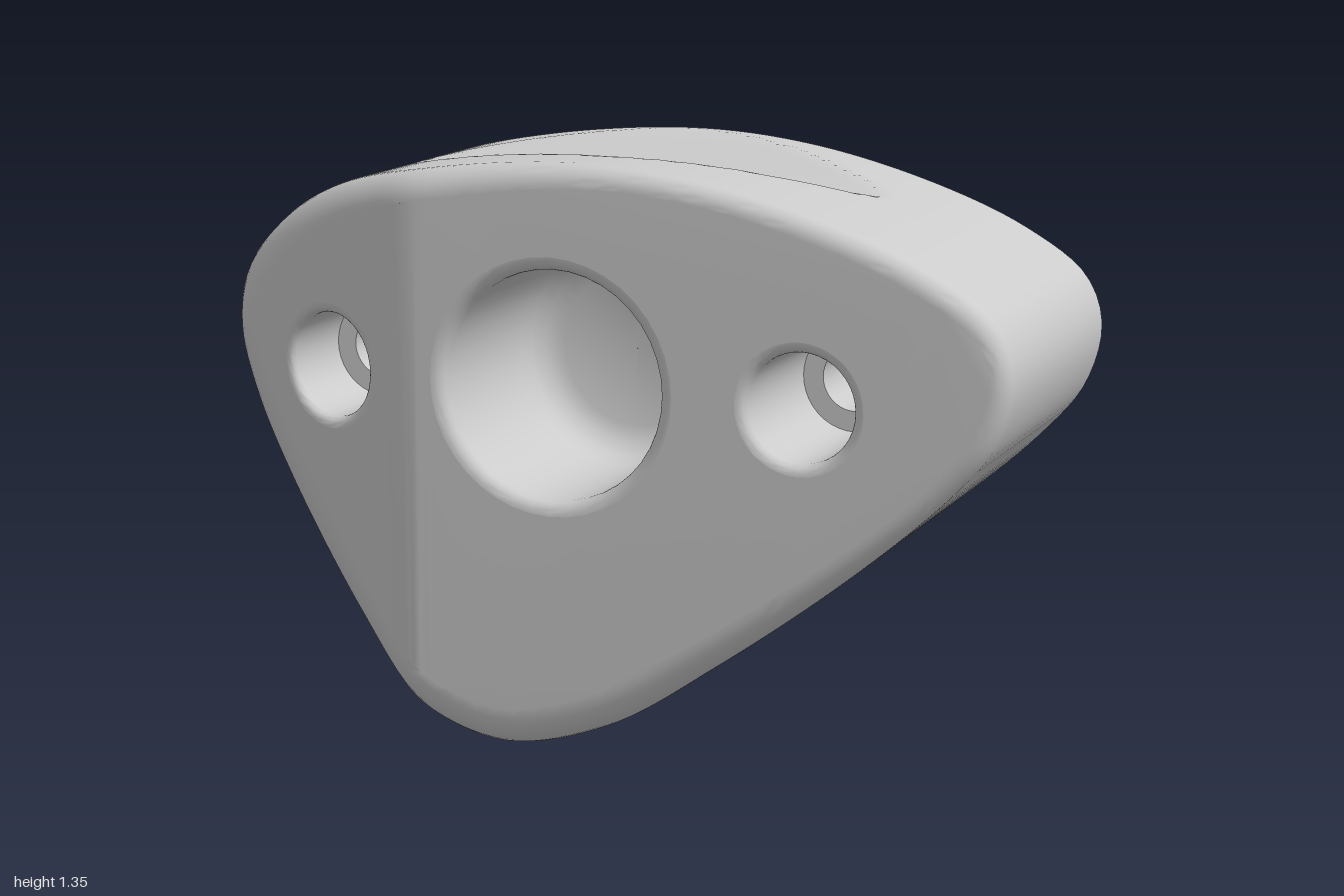
import * as THREE from 'three';
import { mergeGeometries, toCreasedNormals } from 'three/addons/utils/BufferGeometryUtils.js';

const BACK = -0.365, FRONT = 0.365;
const N = 160;          // points around the outline
const HOLE_SEGS = 40;
const { clamp, smoothstep } = THREE.MathUtils;

// Front surface: flat, bending smoothly into a slope on the -x side
const BEND_A = -0.35, BEND_B = -0.46, SLOPE = 0.4;
function frontZ(x) {
  if (x >= BEND_A) return FRONT;
  const w = BEND_A - BEND_B, d = BEND_A - x;
  return FRONT - SLOPE * (d < w ? d * d / (2 * w) : d - w / 2);
}

// Finger grooves: the top and bottom heights are limited along z
const grooveDepth = (z) => z > -0.07 ? 1 - smoothstep(z, -0.07, 0.21) : smoothstep(z, -0.37, -0.07);
function carve([x, y, z]) {
  const top = 1.352 - 0.092 * grooveDepth(z);
  const bottom = -0.002 + 0.065 * grooveDepth(z - 0.03 < -0.07 ? z - 0.03 : z + 0.05 * (z < 0.13 ? -0.6 : 0));
  return [x, clamp(y, bottom, top), z];
}

// Skin closed rings of [x, y, z] points
function loft(rings) {
  const n = rings[0].length, index = [];
  for (let i = 0; i < rings.length - 1; i++) {
    for (let j = 0; j < n; j++) {
      const k = (j + 1) % n, a = i * n + j, b = i * n + k, c = b + n, d = a + n;
      index.push(a, b, c, a, c, d);
    }
  }
  const g = new THREE.BufferGeometry();
  g.setAttribute('position', new THREE.Float32BufferAttribute(rings.flat(2), 3));
  g.setIndex(index);
  return g;
}

// Flat cap with holes, lifted to z by a rule
function cap(points, holes, zRule, flip = false) {
  const shape = new THREE.Shape(points.map(([x, y]) => new THREE.Vector2(x, y)));
  shape.holes = holes.map((h) => new THREE.Path(h.map(([x, y]) => new THREE.Vector2(x, y))));
  const g = new THREE.ShapeGeometry(shape);
  g.deleteAttribute('uv');
  g.deleteAttribute('normal');
  const p = g.attributes.position;
  for (let i = 0; i < p.count; i++) p.setZ(i, zRule(p.getX(i)));
  if (flip) g.index.array.reverse();
  return g;
}

// Keep the part of a polygon where sign * (x - cut) >= 0
function clip(points, cut, sign) {
  const out = [];
  points.forEach((a, i) => {
    const b = points[(i + 1) % points.length];
    const da = sign * (a[0] - cut), db = sign * (b[0] - cut);
    if (da >= 0) out.push(a);
    if (da * db < 0) out.push([cut, a[1] + (b[1] - a[1]) * da / (da - db)]);
  });
  return out;
}

const circle = (cx, cy, r) => Array.from({ length: HOLE_SEGS }, (_, i) => {
  const a = i / HOLE_SEGS * Math.PI * 2;
  return [cx + r * Math.cos(a), cy + r * Math.sin(a)];
});

// Recess with a rounded rim, then a profile of [radius, z] steps
function recess({ x, y, r, rim, steps }) {
  const rings = [];
  for (let i = 0; i <= 6; i++) {
    const a = i / 6 * Math.PI / 2;
    rings.push(circle(x, y, r + rim * (1 - Math.sin(a)))
      .map(([px, py]) => [px, py, frontZ(px) - rim * (1 - Math.cos(a))]));
  }
  for (const [sr, sz] of steps) rings.push(circle(x, y, sr).map(([px, py]) => [px, py, sz]));
  return loft(rings);
}

export function createModel() {
  const group = new THREE.Group();
  const material = new THREE.MeshStandardMaterial({ color: 0xcccccc });
  const add = (name, geometry) => {
    const mesh = new THREE.Mesh(toCreasedNormals(geometry, 0.5), material);
    mesh.name = name;
    group.add(mesh);
  };

  // Rounded triangular outline, counterclockwise from the top
  const outline = new THREE.CatmullRomCurve3([
    [0, 1.35], [-0.39, 1.315], [-0.66, 1.25], [-0.845, 1.15], [-0.97, 1.02], [-1, 0.88],
    [-0.95, 0.72], [-0.82, 0.51], [-0.6, 0.24], [-0.42, 0.07], [-0.2, 0], [0.06, 0.07],
    [0.33, 0.245], [0.65, 0.49], [0.87, 0.69], [0.965, 0.81], [1, 0.95], [0.96, 1.06],
    [0.82, 1.16], [0.6, 1.25], [0.3, 1.325],
  ].map(([x, y]) => new THREE.Vector3(x, y, 0)), true).getSpacedPoints(N).slice(0, N);

  // Each outline point with its inward direction and edge radius
  const edge = outline.map((p, i) => {
    const t = outline[(i + 1) % N].clone().sub(outline[(i + N - 1) % N]).normalize();
    const r = clamp(0.07 - 0.035 * p.x + 0.03 * (0.7 - p.y), 0.045, 0.11);
    return { x: p.x, y: p.y, nx: -t.y, ny: t.x, r };
  });

  // Side wall, then the rounded front edge
  const rings = [];
  const WALL = 40, ROUND = 8;
  for (let i = 0; i < WALL; i++) {
    rings.push(edge.map((e) => {
      const zTop = frontZ(e.x) - e.r;
      return carve([e.x, e.y, BACK + (zTop - BACK) * i / WALL]);
    }));
  }
  for (let i = 0; i <= ROUND; i++) {
    const a = i / ROUND * Math.PI / 2;
    rings.push(edge.map((e) => {
      const d = e.r * (1 - Math.cos(a)), x = e.x + e.nx * d;
      return carve([x, e.y + e.ny * d, frontZ(x) - e.r * (1 - Math.sin(a))]);
    }));
  }

  // Recesses: central blind socket and two stepped bolt holes
  const socket = {
    x: -0.05, y: 0.855, r: 0.26, rim: 0.032,
    steps: [[0.26, -0.04], [0.25, -0.08], [0.225, -0.112], [0.185, -0.13], [0.001, -0.135]],
  };
  const bolt = (x, y) => ({
    x, y, r: 0.122, rim: 0.025, steps: [[0.122, 0], [0.075, 0], [0.075, BACK]],
  });
  const bolts = [bolt(-0.65, 0.84), bolt(0.535, 0.855)];
  const mouth = (h) => circle(h.x, h.y, h.r + h.rim);

  // Front face in bands, so that it follows the bend
  const rim = rings[rings.length - 1];
  const parts = [loft(rings)];
  const BANDS = 4;
  const cuts = Array.from({ length: BANDS + 1 }, (_, i) => BEND_B + (BEND_A - BEND_B) * i / BANDS);
  parts.push(cap(clip(rim, cuts[0], -1), [mouth(bolts[0])], frontZ));
  for (let i = 0; i < BANDS; i++) {
    parts.push(cap(clip(clip(rim, cuts[i], 1), cuts[i + 1], -1), [], frontZ));
  }
  parts.push(cap(clip(rim, cuts[BANDS], 1), [mouth(socket), mouth(bolts[1])], frontZ));

  // Flat back
  parts.push(cap(rings[0], bolts.map((h) => circle(h.x, h.y, 0.075)), () => BACK, true));

  add('body', mergeGeometries(parts));
  add('centralSocket', recess(socket));
  add('rightBoltHole', recess(bolts[0]));
  add('leftBoltHole', recess(bolts[1]));
  return group;
}
